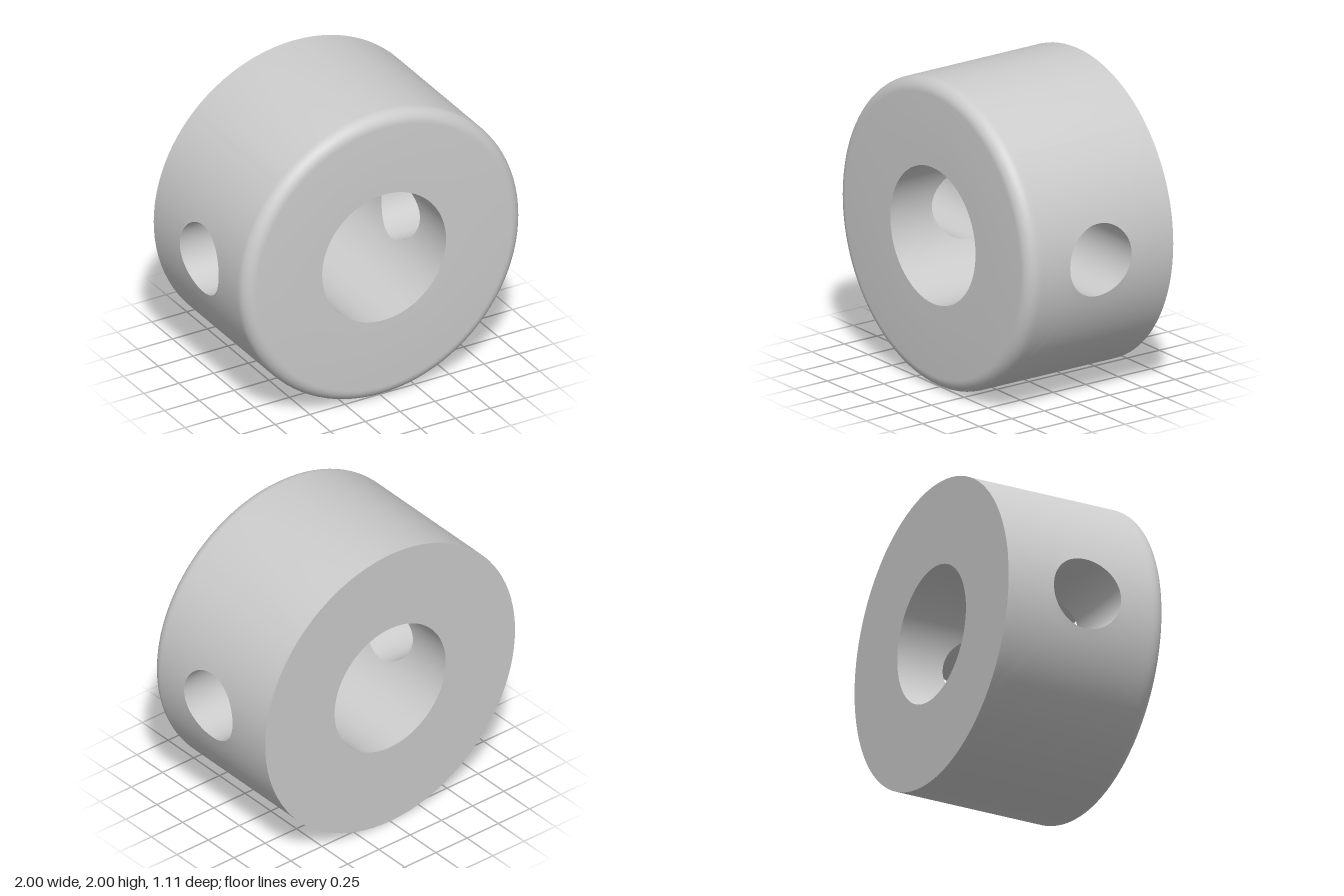
import * as THREE from 'three';
import { mergeGeometries, toCreasedNormals } from 'three/addons/utils/BufferGeometryUtils.js';

const OUTER = 1, BORE = 0.445, HALF = 0.555, FILLET = 0.085, HOLE = 0.236;
const SEG = 96, Q = Math.PI / 4;

// Grid surface from a point rule; the visible side is du x dv.
function grid(nu, nv, point) {
  const pos = [], index = [];
  for (let j = 0; j <= nv; j++)
    for (let i = 0; i <= nu; i++) pos.push(...point(i / nu, j / nv));
  for (let j = 0; j < nv; j++)
    for (let i = 0; i < nu; i++) {
      const a = j * (nu + 1) + i, b = a + 1, c = a + nu + 1, d = c + 1;
      index.push(a, b, d, a, d, c);
    }
  const g = new THREE.BufferGeometry();
  g.setAttribute('position', new THREE.Float32BufferAttribute(pos, 3));
  g.setIndex(index);
  return g;
}

const polar = (r, phi, z) => [r * Math.cos(phi), r * Math.sin(phi), z];

// Sweep a profile of [radius, z] points around the z axis.
const sweep = (profile, from, to, segments) =>
  grid(segments, profile.length - 1, (u, v) => {
    const [r, z] = profile[Math.round(v * (profile.length - 1))];
    return polar(r, from + u * (to - from), z);
  });

// Point on a unit square's edge, evenly spaced, corners at 45 degrees.
function squareEdge(t) {
  const side = Math.round(t / (2 * Q)), k = (t - side * 2 * Q) / Q;
  return [[1, k], [-k, 1], [-1, -k], [k, -1]][side % 4];
}

// Quarter of a cylindrical wall pierced by the cross hole.
function piercedWall(R, z0, z1, inward) {
  return grid(10, SEG, (u, v) => {
    const k = inward ? 1 - u : u, t = v * 2 * Math.PI;
    const [sp, sz] = squareEdge(t);
    const phi0 = Math.asin(HOLE * Math.cos(t) / R), zh = HOLE * Math.sin(t);
    const zr = (z0 + z1) / 2 + sz * (z1 - z0) / 2;
    return polar(R, phi0 + (sp * Q - phi0) * k, zh + (zr - zh) * k);
  });
}

export function createModel() {
  const zFillet = HALF - FILLET;

  // Rounded front rim running into the flat front face
  const front = [];
  for (let i = 0; i <= 8; i++) {
    const a = i / 8 * Math.PI / 2;
    front.push([OUTER - FILLET + FILLET * Math.cos(a), zFillet + FILLET * Math.sin(a)]);
  }
  front.push([BORE, HALF]);

  // One half of the collar; the other is the same turned by 180 degrees
  const half = [
    sweep([[BORE, -HALF], [OUTER, -HALF]], -Q, 3 * Q, SEG / 2),   // back face
    sweep(front, -Q, 3 * Q, SEG / 2),                             // front face and rim
    sweep([[OUTER, -HALF], [OUTER, zFillet]], Q, 3 * Q, SEG / 4), // plain outer wall
    sweep([[BORE, HALF], [BORE, -HALF]], Q, 3 * Q, SEG / 4),      // plain bore wall
    piercedWall(OUTER, -HALF, zFillet, false),
    piercedWall(BORE, -HALF, HALF, true),
    // cross hole tunnel
    grid(SEG, 1, (u, v) => {
      const t = u * 2 * Math.PI, y = HOLE * Math.cos(t), R = v ? BORE : OUTER;
      return [Math.sqrt(R * R - y * y), y, HOLE * Math.sin(t)];
    }),
  ];
  const other = half.map((g) => g.clone().rotateZ(Math.PI));
  const geometry = toCreasedNormals(mergeGeometries([...half, ...other]), 0.6);

  const collar = new THREE.Mesh(geometry, new THREE.MeshStandardMaterial({ color: 0xcccccc }));
  collar.name = 'collar';
  collar.position.y = OUTER;

  const group = new THREE.Group();
  group.name = 'shaftCollar';
  group.add(collar);
  return group;
}
